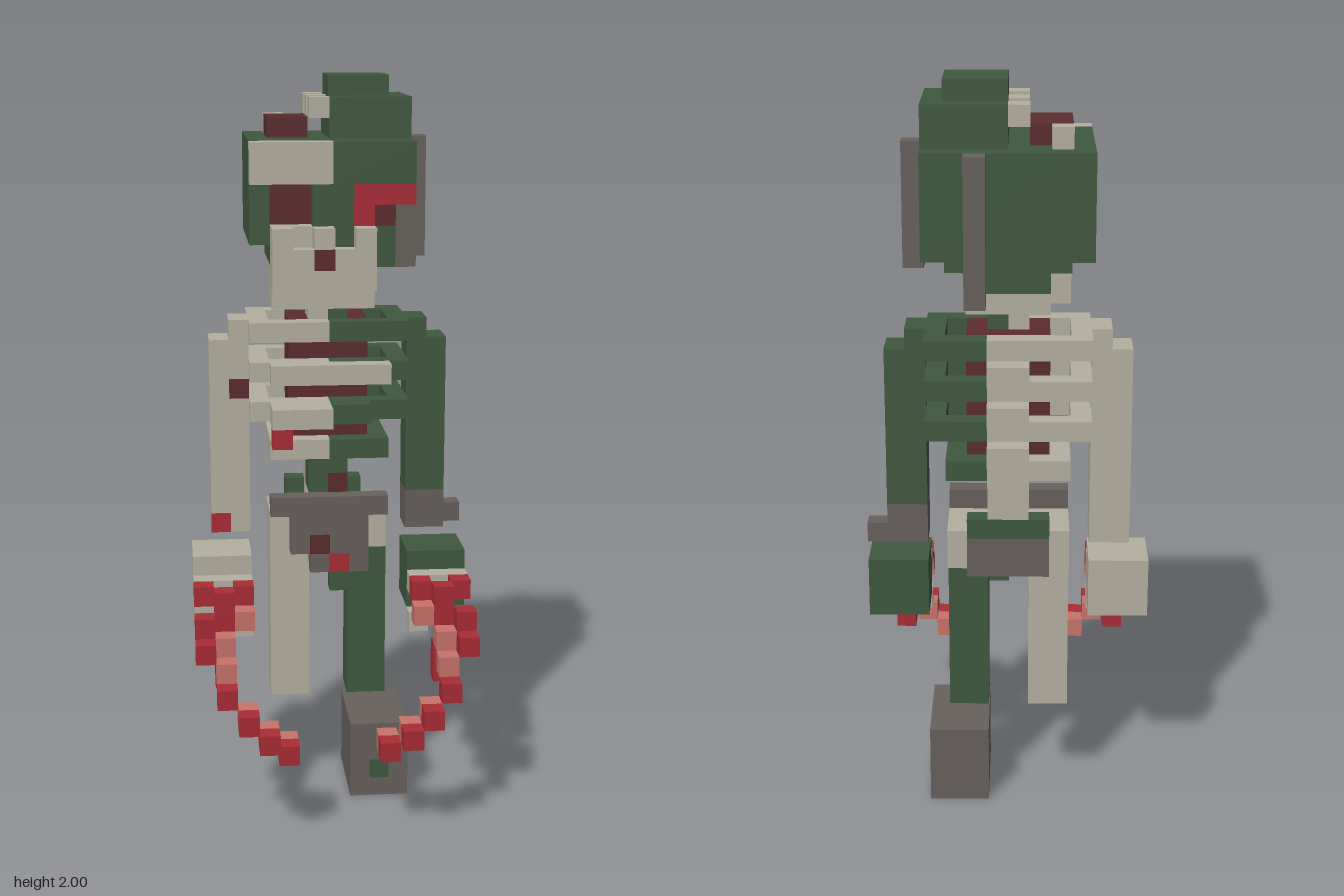
import * as THREE from 'three';

const U = 2 / 37; // one block

const mat = (name, color) => {
  const m = new THREE.MeshStandardMaterial({ color });
  m.name = name;
  return m;
};

export function createModel() {
  const root = new THREE.Group();
  root.name = 'undeadFigure';
  const green = mat('rottenGreen', 0x40593f);
  const bone = mat('bone', 0xb5b0a0);
  const grey = mat('clothGrey', 0x67615d);
  const gore = mat('darkRed', 0x5c2c2e);
  const red = mat('red', 0xaa2c35);
  const salmon = mat('salmon', 0xc8746a);

  const group = (name) => {
    const g = new THREE.Group();
    g.name = name;
    root.add(g);
    return g;
  };
  // box between two grid corners, in blocks
  const box = (parent, name, material, x0, x1, y0, y1, z0, z1) => {
    const g = new THREE.BoxGeometry((x1 - x0) * U, (y1 - y0) * U, (z1 - z0) * U);
    const m = new THREE.Mesh(g, material);
    m.position.set((x0 + x1) * U / 2, (y0 + y1) * U / 2, (z0 + z1) * U / 2);
    m.name = name;
    parent.add(m);
  };
  // thin painted plate on a front face at depth z
  const spot = (parent, name, material, x, y, z, w = 1, h = 1) =>
    box(parent, name, material, x, x + w, y, y + h, z, z + 0.06);

  // Legs
  const legs = group('legs');
  box(legs, 'boot', grey, 1, 4, 0, 4, -4, 1);
  spot(legs, 'bootPatch', green, 2, 1, 1);
  box(legs, 'leftLeg', green, 1, 3, 5, 13, -3, -1);
  box(legs, 'rightLeg', bone, -3, -1, 5, 13, -3, -1);

  // Pelvis and torn cloth
  const pelvis = group('pelvis');
  box(pelvis, 'beltFront', grey, -3, 3, 15, 16, -1, 0);
  box(pelvis, 'clothFront', grey, -2, 2, 13, 15, -1, 0);
  box(pelvis, 'clothTip', grey, -1, 2, 12, 13, -1, 0);
  box(pelvis, 'clothEnd', green, 0, 1, 11, 12, -1, 0);
  spot(pelvis, 'clothStain', gore, -1, 13, 0);
  spot(pelvis, 'clothBlood', red, 0, 12, 0);
  box(pelvis, 'clothBack', grey, -2, 2, 13, 15, -5, -4);
  box(pelvis, 'waistBack', green, -2, 2, 15, 16, -5, -4);
  box(pelvis, 'rightHip', bone, -3, -1, 13, 15, -4, -1);
  box(pelvis, 'leftHip', bone, 1, 3, 13, 15, -4, -1);

  // Spine
  const spine = group('spine');
  box(spine, 'backbone', bone, -1, 1, 16, 25, -5, -4);
  box(spine, 'lowerBackbone', bone, -1, 1, 14, 19, -4, -3);
  for (const y of [19, 21, 23]) box(spine, 'vertebra', bone, -1, 1, y, y + 1, -6, -5);
  box(spine, 'belly', green, -1, 1, 16, 18, -3, -1);
  spot(spine, 'bellyWound', gore, 0, 16, -1);

  // Ribcage around dark organs
  const ribs = group('ribcage');
  box(ribs, 'organs', gore, -2, 2, 19, 25, -4, -1);
  for (const [y, w] of [[18, 3], [20, 4], [22, 4], [24, 4]]) {
    for (const [s, m] of [[-1, bone], [1, green]]) {
      const span = (a, b) => (s > 0 ? [a, b] : [-b, -a]);
      box(ribs, 'frontRib', m, ...span(0, w), y, y + 1, -1, 0);
      box(ribs, 'sideRib', m, ...span(w - 1, w), y, y + 1, -4, -1);
      box(ribs, 'backRib', m, ...span(1, w), y, y + 1, -4.98, -4);
    }
  }
  box(ribs, 'upperBreastRib', bone, -3, 3, 22, 23, 0, 1);
  box(ribs, 'lowerBreastRib', bone, -3, 0, 20, 21, 0, 2);
  box(ribs, 'lowerBreastRibEnd', green, 0, 2, 20, 21, 0, 1);
  box(ribs, 'bloodDrop', red, -3, -2, 19, 20, 1, 2);

  // Arms
  const arms = group('arms');
  box(arms, 'leftShoulder', green, 4, 5, 24, 25, -3, -1);
  box(arms, 'leftArm', green, 4, 6, 16, 24, -3, -1);
  box(arms, 'leftCuff', grey, 4, 6, 14, 16, -3, -1);
  box(arms, 'cuffScrap', grey, 6, 7, 14, 15, -3, -2);
  box(arms, 'rightShoulder', bone, -5, -4, 24, 25, -3, -1);
  box(arms, 'rightArm', bone, -6, -4, 14, 24, -3, -1);
  spot(arms, 'armWound', gore, -5, 21, -1);
  spot(arms, 'wristBlood', red, -6, 14, -1);

  // Hands with curling chains of claws, mirrored: [x, y, z, material]
  const claws = [
    [6, 11, 1, red], [4, 11, 1, red], [5, 11, 2, red], [5, 10, 2, red],
    [4, 10, 2, salmon], [6, 10, 3, red], [6, 9, 4, red], [5, 9, 3, salmon],
    [5, 8, 4, salmon], [5, 7, 5, red], [4, 6, 6, red], [4, 6, 5, salmon],
    [3, 5, 6, red], [3, 5, 5, salmon], [2, 4, 5, red], [2, 4, 4, salmon],
    [5, 8, 2, red], [5, 7, 2, red],
  ];
  for (const s of [1, -1]) {
    const hand = group(s > 0 ? 'leftHand' : 'rightHand');
    const span = (a, b) => (s > 0 ? [a, b] : [-b, -a]);
    box(hand, 'fist', s > 0 ? green : bone, ...span(4, 7), 10, 13, -3, 0);
    box(hand, 'knuckles', bone, ...span(4, 7), 11, 12, 0, 1);
    box(hand, 'thumb', bone, ...span(4, 5), 9, 10, 0, 1);
    for (const [x, y, z, m] of claws) box(hand, 'claw', m, ...span(x, x + 1), y, y + 1, z, z + 1);
  }

  // Neck
  const neck = group('neck');
  box(neck, 'neckBone', bone, -1, 0, 25, 27, -3, -1);
  box(neck, 'neckFlesh', green, 0, 1, 25, 27, -3, -1);
  box(neck, 'nape', bone, -2, 2, 26, 27, -4, -3);

  // Head
  const head = group('head');
  box(head, 'skull', green, -4, 4, 29, 34, -6, 1);
  box(head, 'skullBase', green, -3, 3, 28, 29, -4, 1);
  box(head, 'skullBack', green, -2, 2, 27, 28, -4, -2);
  box(head, 'crown', green, 0, 4, 34, 36, -5, 0);
  box(head, 'crownTop', green, 0, 3, 36, 37, -4, -1);
  box(head, 'brain', gore, -3, -1, 34, 35, -4, -1);
  box(head, 'skullShard', bone, -3, -2, 34, 35, -5, -4);
  for (const z of [-5, -3, -1]) box(head, 'skullShard', bone, -1, 0, 35, 36, z, z + 1);

  // Face
  const face = group('face');
  box(face, 'boneBrow', bone, -4, 0, 32, 34, 1, 2);
  box(face, 'greenBrow', green, 0, 4, 32, 34, 1, 2);
  spot(face, 'emptySocket', gore, -3, 30, 1, 2, 2);
  box(face, 'nose', green, -1, 1, 30, 32, 1, 2);
  box(face, 'eye', red, 1, 3, 30, 32, 1, 2);
  spot(face, 'pupil', gore, 2, 30, 2);
  box(face, 'eyeCorner', red, 3, 4, 31, 32, 1, 2);
  box(face, 'cheekStrap', grey, 3, 4, 28, 31, 1, 2);
  box(face, 'upperJawBone', bone, -3, 0, 28, 30, 1, 2);
  box(face, 'upperJawFlesh', green, 0, 3, 28, 30, 1, 2);

  // Jaw and teeth
  const jaw = group('jaw');
  box(jaw, 'lowerJaw', bone, -3, 2, 26, 28, -2, 2);
  box(jaw, 'chin', bone, -3, 2, 27, 29, 2, 3);
  for (const x of [-3, -1, 1]) box(jaw, 'tooth', bone, x, x + 1, 29, 30, 2, 3);
  spot(jaw, 'toothGap', gore, -1, 28, 3);

  // Hanging straps
  const straps = group('straps');
  box(straps, 'sideStrap', grey, 4, 5, 28, 34, -3, -2);
  box(straps, 'backStrap', grey, 1, 2, 27, 34, -7, -6);

  return root;
}
